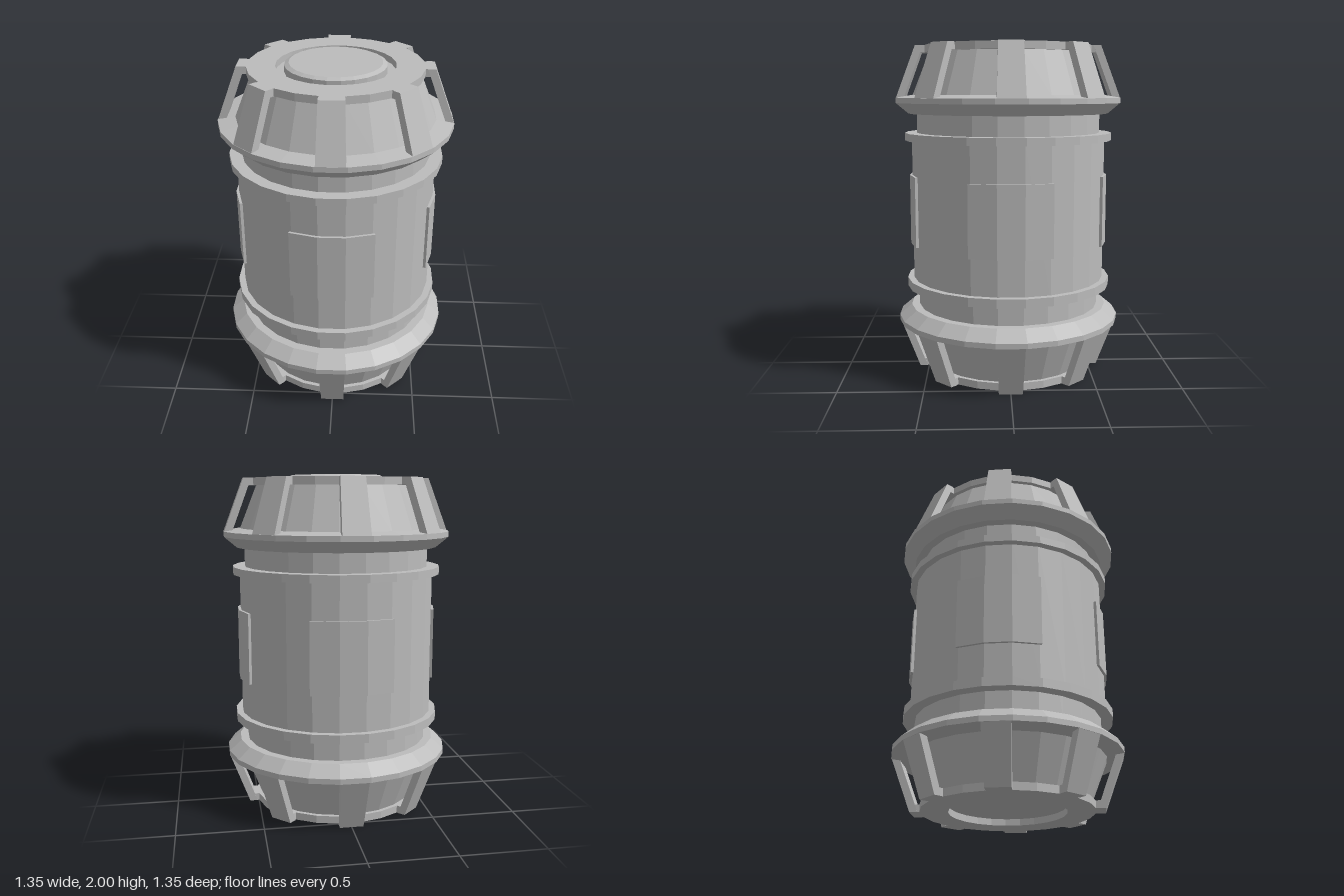
import * as THREE from 'three';

const SIDES = 24;
const HALF = Math.PI / SIDES; // turns a flat facet toward each axis
const END_TOP = 1.984; // height of the end cap, also the mirror span

const metal = new THREE.MeshStandardMaterial({ color: 0xbcbcbc, flatShading: true });
metal.name = 'greyMetal';

function add(parent, name, geometry) {
  const mesh = new THREE.Mesh(geometry, metal);
  mesh.name = name;
  parent.add(mesh);
  return mesh;
}

// Faceted turned part from [radius, height] pairs, listed bottom to top
function turned(points) {
  return new THREE.LatheGeometry(points.map(([r, y]) => new THREE.Vector2(r, y)), SIDES, HALF);
}

// Flat outline extruded upward from height y
function slab(shape, y, height) {
  const g = new THREE.ExtrudeGeometry(shape, { depth: height, bevelEnabled: false });
  g.rotateX(-Math.PI / 2);
  g.translate(0, y, 0);
  return g;
}

// End plate with eight tabs and a round opening
function capGeometry() {
  const outline = [];
  const polar = (r, a) => new THREE.Vector2(r * Math.cos(a), r * Math.sin(a));
  for (let k = 0; k < 8; k++) {
    const a = k * Math.PI / 4;
    outline.push(polar(0.502, a - HALF));
    outline.push(polar(0.545, a - 0.124), polar(0.545, a + 0.124));
    outline.push(polar(0.502, a + HALF), polar(0.502, a + 3 * HALF));
  }
  const shape = new THREE.Shape(outline);
  const hole = [];
  for (let i = 0; i < SIDES; i++) hole.push(polar(0.34, HALF - i * 2 * HALF));
  shape.holes.push(new THREE.Path(hole));
  return slab(shape, 1.94, END_TOP - 1.94);
}

// Slanted strut, wider and further out at its foot
function strutGeometry() {
  const g = new THREE.BoxGeometry(1, 1, 1);
  const p = g.attributes.position;
  for (let i = 0; i < p.count; i++) {
    const top = p.getY(i) > 0;
    const outer = p.getZ(i) > 0;
    const z = (top ? 0.555 : 0.674) - (outer ? 0 : 0.046);
    p.setXYZ(i, Math.sign(p.getX(i)) * (top ? 0.069 : 0.079), top ? END_TOP : 1.67, z);
  }
  g.computeVertexNormals();
  return g;
}

// Collar, tapered core, struts and cap of one end
function makeEnd(name) {
  const end = new THREE.Group();
  end.name = name;
  add(end, 'collar', turned([[0.5, 1.58], [0.605, 1.58], [0.68, 1.643], [0.68, 1.674], [0.56, 1.694]]));
  add(end, 'core', turned([[0.582, 1.68], [0.476, 1.945], [0, 1.945]]));
  add(end, 'cap', capGeometry());
  const strut = strutGeometry();
  for (let k = 0; k < 8; k++) add(end, 'strut', strut).rotation.y = k * Math.PI / 4;
  return end;
}

// Thin plate wrapped over the facets of the body
function panelGeometry() {
  const angles = [-0.408, -HALF, HALF, 0.408];
  const at = (r, a) => new THREE.Vector2(r * Math.sin(a), -r * Math.cos(a));
  const outline = angles.map(a => at(0.603, a));
  outline.push(...angles.slice().reverse().map(a => at(0.57, a)));
  return slab(new THREE.Shape(outline), 0.79, 0.42);
}

export function createModel() {
  const model = new THREE.Group();
  model.name = 'canister';

  // Main drum with its narrow neck
  add(model, 'neck', turned([[0.555, 0.38], [0.555, 1.6]]));
  add(model, 'body', turned([[0.5, 0.55], [0.587, 0.55], [0.587, 1.44], [0.5, 1.44]]));

  // Flanges above and below the drum
  add(model, 'upperFlange', turned([[0.5, 1.42], [0.628, 1.42], [0.628, 1.465], [0.5, 1.465]]));
  add(model, 'lowerFlange', turned([[0.5, 0.525], [0.626, 0.525], [0.626, 0.577], [0.5, 0.577]]));

  // Four side panels
  const panel = panelGeometry();
  for (let k = 0; k < 4; k++) add(model, 'panel', panel).rotation.y = k * Math.PI / 2;

  // Matching ends, the lower one turned over
  model.add(makeEnd('upperEnd'));
  const lower = makeEnd('lowerEnd');
  lower.rotation.x = Math.PI;
  lower.position.y = END_TOP;
  model.add(lower);

  // Raised button on top
  add(model, 'button', turned([[0.29, 1.94], [0.29, 1.988], [0.265, 2], [0, 2]]));
  return model;
}
